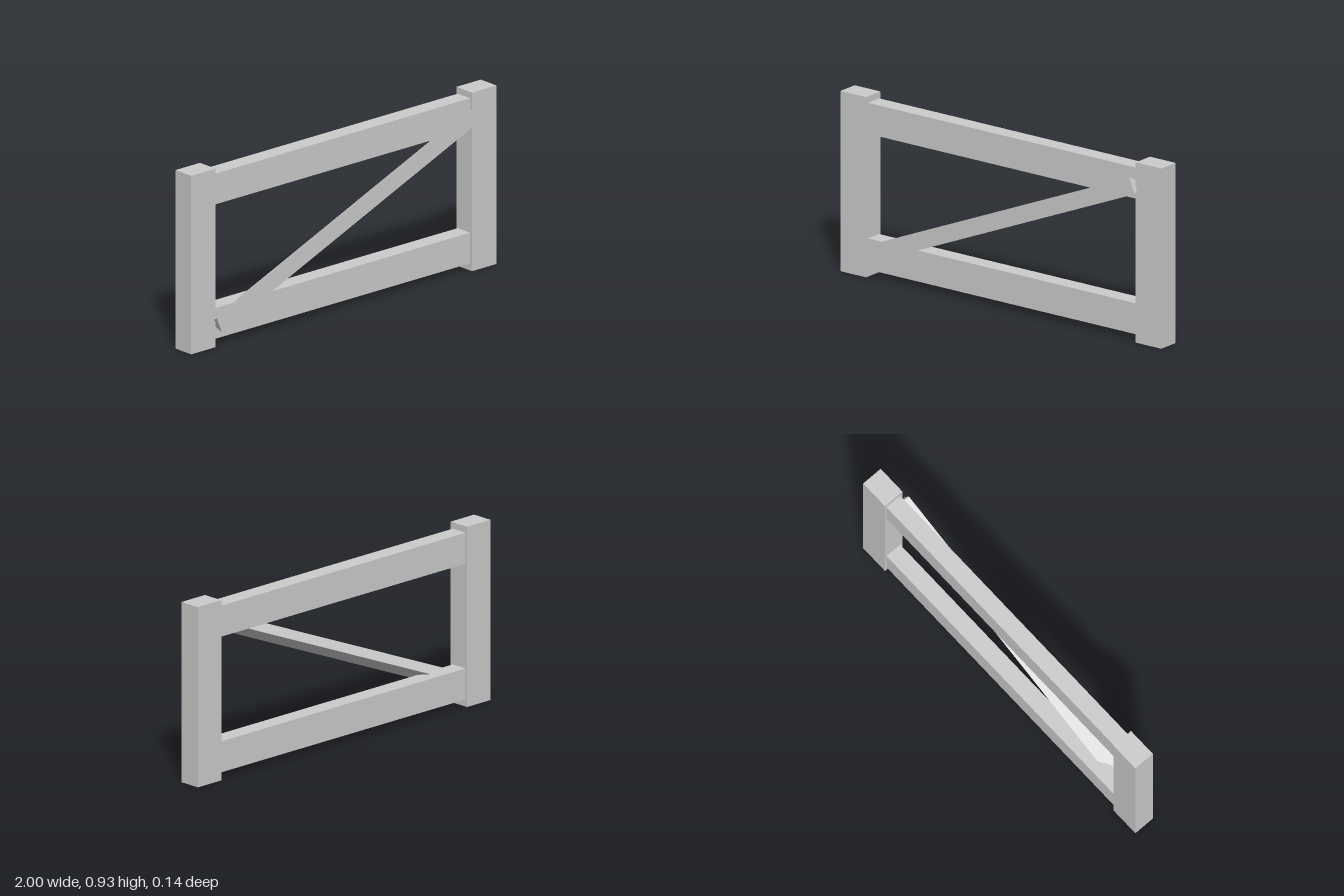
import * as THREE from 'three';

export function createModel() {
  const group = new THREE.Group();
  const grey = new THREE.MeshStandardMaterial({ color: 0xcccccc, flatShading: true });
  grey.name = 'grey';

  const add = (name, geometry, x, y, z) => {
    const mesh = new THREE.Mesh(geometry, grey);
    mesh.name = name;
    mesh.position.set(x, y, z);
    group.add(mesh);
    return mesh;
  };

  // Upright posts at both ends
  for (const [name, side] of [['leftPost', 1], ['rightPost', -1]]) {
    add(name, new THREE.BoxGeometry(0.16, 0.93, 0.115), side * 0.92, 0.465, -0.0125);
  }

  // Horizontal rails between the posts
  for (const [name, y] of [['lowerRail', 0.117], ['upperRail', 0.817]]) {
    add(name, new THREE.BoxGeometry(1.68, 0.16, 0.09), 0, y, -0.015);
  }

  // Diagonal three-sided brace, flat face to the front and ridge to the back
  const brace = add('diagonalBrace',
    new THREE.CylinderGeometry(0.05, 0.05, 1.813, 3, 1, false, Math.PI), 0, 0.467, 0.045);
  brace.rotation.z = Math.atan2(0.695, 1.675) - Math.PI / 2;

  return group;
}
